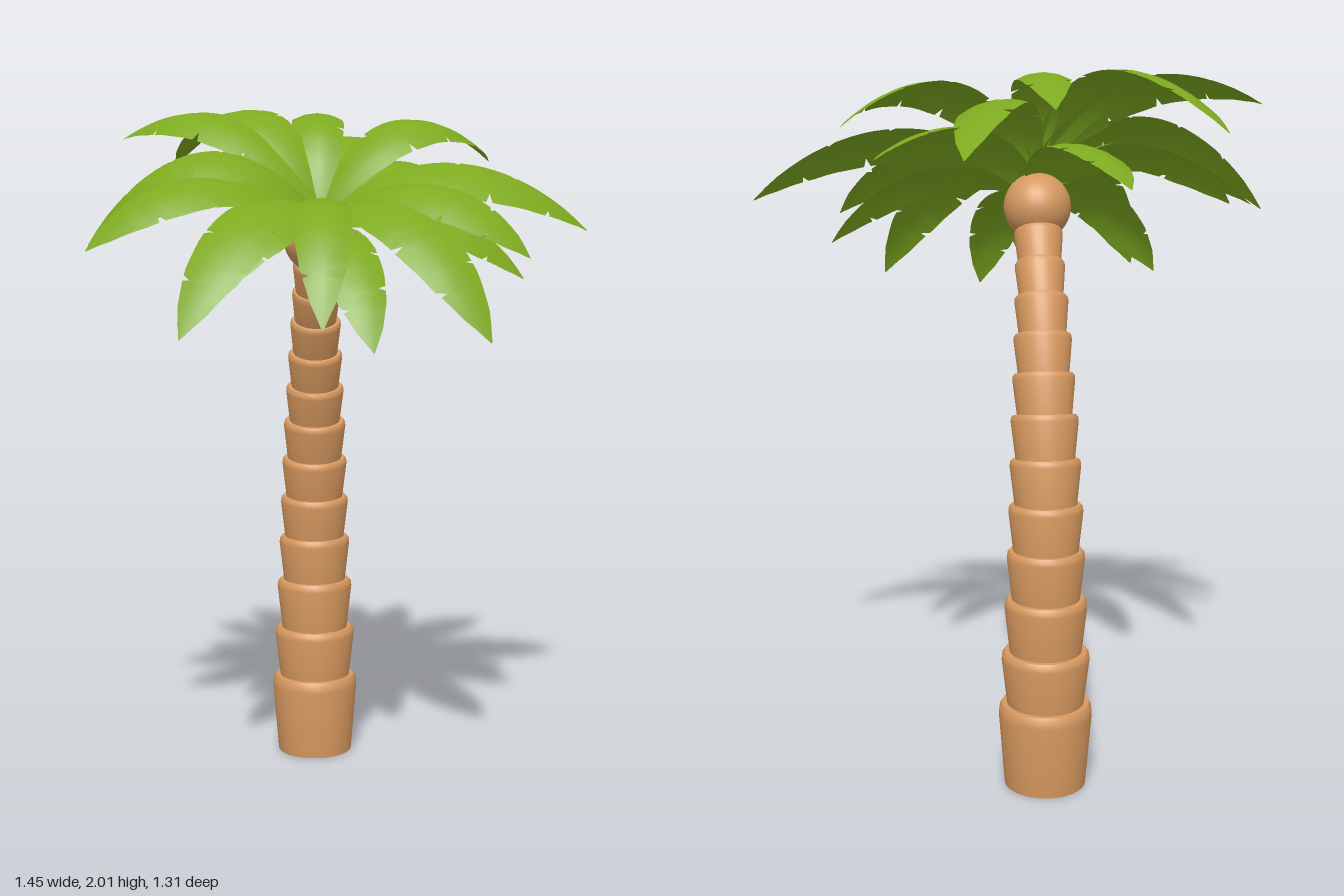
import * as THREE from 'three';
import { toCreasedNormals } from 'three/addons/utils/BufferGeometryUtils.js';

const bark = new THREE.MeshStandardMaterial({ color: 0xd6985f, side: THREE.DoubleSide });
bark.name = 'bark brown';
const green = new THREE.MeshStandardMaterial({ color: 0x7eaa20, side: THREE.DoubleSide });
green.name = 'leaf green';

const X0 = -0.07;                       // the trunk lies in the plane x = X0
const TILT = 0.5;                       // forward lean of the crown
const UP = new THREE.Vector3(0, Math.cos(TILT), Math.sin(TILT));

// One flared trunk cup, open below, standing on its local origin
function cup(rTop, rBottom, h) {
  const pts = [[rBottom, 0], [rTop, h * 0.87], [rTop * 0.985, h * 0.95], [rTop * 0.93, h], [0, h + 0.004]];
  const geo = new THREE.LatheGeometry(pts.map(([x, y]) => new THREE.Vector2(x, y)), 28);
  return toCreasedNormals(geo, 0.6);
}

// Piecewise-linear lookup of the blade half width, 0..1 along the leaf
const PROFILE = [[0, 0.3], [0.1, 0.58], [0.25, 0.85], [0.45, 1], [0.65, 0.96], [0.8, 0.77], [0.92, 0.42], [1, 0.02]];
function blade(t) {
  const i = Math.max(1, PROFILE.findIndex((p) => p[0] >= t));
  const [a, b] = [PROFILE[i - 1], PROFILE[i]];
  return THREE.MathUtils.mapLinear(t, a[0], b[0], a[1], b[1]);
}

// Arched leaf sheet with small notches torn in both edges
function leafGeometry(root, tip, width, bulge, seed) {
  const mid = root.clone().lerp(tip, 0.5).addScaledVector(UP, bulge * 2);
  const spine = new THREE.QuadraticBezierCurve3(root, mid, tip);
  const side = UP.clone().cross(tip.clone().sub(root)).normalize();
  const shift = ((seed * 7) % 5) * 0.012;
  const notches = [[0.38 + shift, 0.6 + shift, 0.83], [0.3 + shift, 0.52 + shift, 0.74 + shift]];
  const rows = Array.from({ length: 25 }, (_, i) => i / 24);
  notches.flat().forEach((n) => rows.push(n - 0.016, n, n + 0.009));
  rows.sort((a, b) => a - b);

  const cols = [-1, -0.5, 0, 0.5, 1], pos = [], idx = [];
  rows.forEach((t, r) => {
    const p = spine.getPoint(t);
    const normal = spine.getTangent(t).cross(side).normalize();
    cols.forEach((c, k) => {
      const cut = Math.abs(c) === 1 && notches[c > 0 ? 1 : 0].includes(t) ? 0.7 : 1;
      const w = blade(t) * c * cut;
      const v = p.clone().addScaledVector(side, w * width / 2).addScaledVector(normal, -0.022 * w * w);
      pos.push(v.x, v.y, v.z);
      if (r && k) {
        const d = r * 5 + k, b = d - 5;
        idx.push(b - 1, b, d - 1, b, d, d - 1);
      }
    });
  });
  const geo = new THREE.BufferGeometry();
  geo.setAttribute('position', new THREE.Float32BufferAttribute(pos, 3));
  geo.setIndex(idx);
  geo.computeVertexNormals();
  return geo;
}

export function createModel() {
  const model = new THREE.Group();
  model.name = 'palmTree';

  // Trunk: stacked cups along a forward-leaning line of [y, z, rim radius]
  const trunk = new THREE.Group();
  trunk.name = 'trunk';
  const joints = [[0, -0.312, 0.13], [0.245, -0.314, 0.133], [0.4, -0.315, 0.125], [0.555, -0.315, 0.117],
    [0.695, -0.312, 0.11], [0.825, -0.302, 0.105], [0.95, -0.283, 0.1], [1.07, -0.258, 0.095],
    [1.18, -0.228, 0.088], [1.285, -0.193, 0.082], [1.385, -0.152, 0.076], [1.475, -0.107, 0.071], [1.56, -0.062, 0.069]];
  for (let i = 1; i < joints.length; i++) {
    const [y0, z0] = joints[i - 1], [y1, z1, r] = joints[i];
    const sink = i > 1 ? 0.015 : 0;
    const seg = new THREE.Mesh(cup(r, r * (i > 1 ? 0.86 : 0.87), Math.hypot(y1 - y0, z1 - z0) + sink), bark);
    seg.name = 'trunkSegment' + i;
    const lean = Math.atan2(z1 - z0, y1 - y0);
    seg.position.set(X0, y0 - sink * Math.cos(lean), z0 - sink * Math.sin(lean));
    seg.rotation.x = lean;
    trunk.add(seg);
  }
  const bulb = new THREE.Mesh(new THREE.SphereGeometry(0.096, 28, 18), bark);
  bulb.name = 'trunkTop';
  bulb.position.set(X0, 1.625, -0.032);
  bulb.rotation.x = TILT;
  trunk.add(bulb);
  model.add(trunk);

  // Crown: [tip x, tip y, tip z, width, arch height, root y]
  const crown = new THREE.Group();
  crown.name = 'crown';
  const leaves = [
    [0.17, 1.79, -0.655, 0.18, 0.2, 1.71], [-0.06, 1.91, -0.59, 0.155, 0.195, 1.72],
    [-0.5, 1.85, -0.57, 0.2, 0.24, 1.71], [-0.65, 1.915, -0.28, 0.19, 0.16, 1.72],
    [-0.725, 1.61, 0.01, 0.2, 0.215, 1.7], [-0.7, 1.6, 0.315, 0.19, 0.15, 1.69],
    [-0.44, 1.385, 0.605, 0.2, 0.17, 1.7], [-0.08, 1.41, 0.655, 0.155, 0.175, 1.7],
    [0.36, 1.37, 0.55, 0.2, 0.17, 1.7], [0.495, 1.58, 0.32, 0.19, 0.14, 1.69],
    [0.725, 1.65, -0.06, 0.23, 0.165, 1.68], [0.475, 1.86, -0.37, 0.19, 0.19, 1.71],
    // lower tier
    [-0.257, 1.71, -0.555, 0.18, 0.14, 1.66], [-0.65, 1.64, -0.18, 0.18, 0.14, 1.67],
    [-0.46, 1.4, 0.28, 0.18, 0.12, 1.66], [0.06, 1.34, 0.5, 0.17, 0.12, 1.66],
    [0.515, 1.515, 0.095, 0.18, 0.13, 1.66], [0.39, 1.78, -0.44, 0.18, 0.13, 1.67],
  ];
  leaves.forEach(([x, y, z, width, bulge, rootY], i) => {
    const root = new THREE.Vector3(X0 + 0.01, rootY, 0);
    const leaf = new THREE.Mesh(leafGeometry(root, new THREE.Vector3(x, y, z), width, bulge, i), green);
    leaf.name = 'leaf' + (i + 1);
    crown.add(leaf);
  });
  model.add(crown);
  return model;
}
